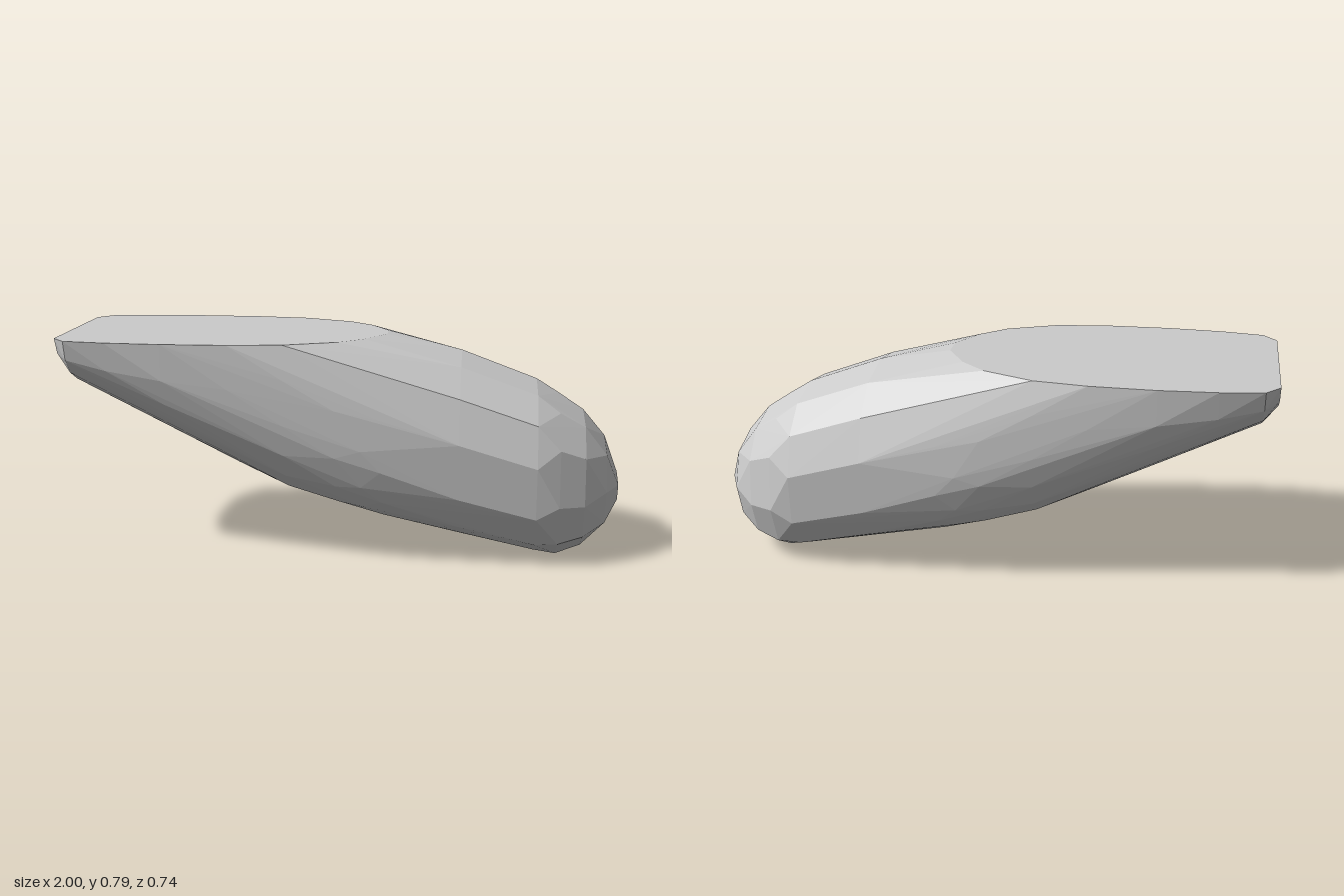
import * as THREE from 'three';
import { ConvexGeometry } from 'three/addons/geometries/ConvexGeometry.js';

const CUT = 0.8; // height of the flat top
const POWER = 2.4; // squareness of the oval sections

// Sections along the body: x, bottom y, top y (before the cut), half width, point count
const sections = [
  [-1, 0.68, 0.97, 0.275, 7],
  [-0.95, 0.62, 1.02, 0.335, 9],
  [-0.8, 0.545, 1.08, 0.358, 9],
  [-0.6, 0.44, 1.1, 0.37, 11],
  [-0.37, 0.32, 1.09, 0.37, 12],
  [-0.18, 0.23, 0.99, 0.37, 13],
  [0, 0.175, 0.872, 0.37, 13],
  [0.09, 0.152, 0.824, 0.368, 13],
  [0.16, 0.137, 0.801, 0.366, 14],
  [0.43, 0.075, 0.74, 0.355, 13],
  [0.7, 0.017, 0.64, 0.335, 13],
  [0.78, 0.005, 0.59, 0.313, 11],
  [0.87, 0.037, 0.53, 0.265, 11],
  [0.95, 0.105, 0.435, 0.19, 8],
  [1, 0.2, 0.3, 0.08, 5],
];

const bulge = (v) => Math.sign(v) * Math.abs(v) ** (2 / POWER);

// Points of one oval, running from cut edge to cut edge where the flat top slices it
function sectionPoints([x, bottom, top, width, count]) {
  const middle = (bottom + top) / 2;
  const half = (top - bottom) / 2;
  const u = (CUT - middle) / half;
  const start = u >= 1 ? Math.PI / 2 : Math.asin(Math.sign(u) * Math.abs(u) ** (POWER / 2));
  const sweep = Math.PI + 2 * start;
  const points = [];
  for (let i = 0; i <= count; i++) {
    const a = start - (sweep * i) / count;
    const y = Math.min(CUT, middle + half * bulge(Math.sin(a)));
    points.push(new THREE.Vector3(x, y, width * bulge(Math.cos(a))));
  }
  return points;
}

export function createModel() {
  const group = new THREE.Group();
  group.name = 'slicedPebble';

  // Faceted, rounded body with a flat top
  const body = new THREE.Mesh(
    new ConvexGeometry(sections.flatMap(sectionPoints)),
    new THREE.MeshStandardMaterial({ color: 0xcccccc, flatShading: true })
  );
  body.name = 'body';
  group.add(body);
  return group;
}
